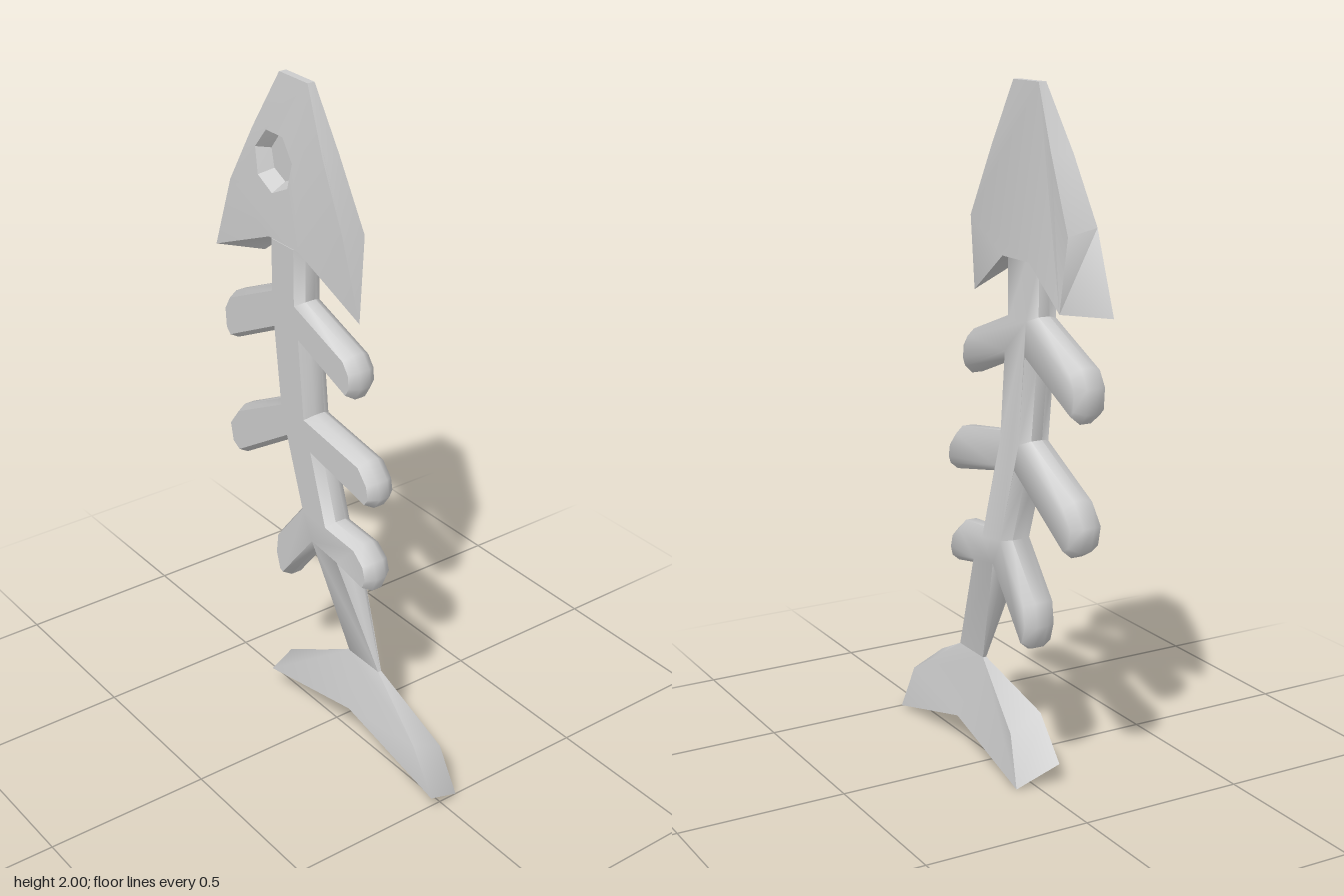
import * as THREE from 'three';
import { toCreasedNormals } from 'three/addons/utils/BufferGeometryUtils.js';

const V2 = (p) => new THREE.Vector2(p[0], p[1]);

// Accumulates triangles and turns them into a mesh with creased normals
function meshFrom(name, tris, crease) {
  let g = new THREE.BufferGeometry();
  g.setAttribute('position', new THREE.Float32BufferAttribute(tris.flat(), 3));
  g = toCreasedNormals(g, crease);
  const mesh = new THREE.Mesh(g, new THREE.MeshStandardMaterial({ color: 0xcccccc }));
  mesh.name = name;
  return mesh;
}

// Skin between two rings of [x, y, z] points, front ring first
function skin(tris, front, back) {
  front.forEach((a, i) => {
    const j = (i + 1) % front.length;
    tris.push(a, back[i], back[j], a, back[j], front[j]);
  });
}

// Fill a ring, optionally with a hole
function cap(tris, ring, hole, flip) {
  const all = hole ? ring.concat(hole) : ring;
  const faces = THREE.ShapeUtils.triangulateShape(ring.map(V2), hole ? [hole.map(V2)] : []);
  for (const [a, b, c] of faces) {
    tris.push(all[a], all[flip ? c : b], all[flip ? b : c]);
  }
}

// Solid from a stack of counter-clockwise rings, front to back
function stack(rings, hole) {
  const tris = [];
  cap(tris, rings[0], hole, false);
  for (let k = 0; k + 1 < rings.length; k++) skin(tris, rings[k], rings[k + 1]);
  cap(tris, rings[rings.length - 1], null, true);
  return tris;
}

// Mitred inset of a counter-clockwise outline
function inset(pts, d) {
  return pts.map((p, i) => {
    const a = V2(pts[(i + pts.length - 1) % pts.length]), b = V2(p), c = V2(pts[(i + 1) % pts.length]);
    const e1 = b.clone().sub(a).normalize(), e2 = c.clone().sub(b).normalize();
    const n1 = new THREE.Vector2(-e1.y, e1.x), n2 = new THREE.Vector2(-e2.y, e2.x);
    const m = n1.clone().add(n2).multiplyScalar(d / (1 + n1.dot(n2)));
    return [p[0] + m.x, p[1] + m.y];
  });
}

// Half outline mirrored about x = cx (half runs downwards on the -x side)
const mirrored = (half, cx) =>
  half.concat(half.slice().reverse().map(([x, y, z]) => [2 * cx - x, y, z]));

function createHead() {
  const cx = -0.195;
  const front = mirrored([[-0.26, 2, 0], [-0.36, 1.82, 0.024], [-0.46, 1.64, 0.035],
    [-0.54, 1.415, 0.037], [-0.265, 1.53, 0.04]], cx);
  const back = mirrored([[-0.26, 2, -0.023], [-0.35, 1.82, -0.038], [-0.45, 1.62, -0.048],
    [-0.42, 1.415, -0.053], [-0.265, 1.53, -0.053]], cx);

  // Seven-sided eye socket, clockwise so that its wall faces inwards
  const eyeRing = (r, z) => Array.from({ length: 7 }, (_, i) => {
    const a = -Math.PI / 2 - i * Math.PI * 2 / 7;
    const y = 1.75 + r * Math.sin(a);
    return [-0.255 + r * Math.cos(a), y, z ?? THREE.MathUtils.mapLinear(y, 1.82, 1.64, 0.024, 0.035)];
  });
  const rim = eyeRing(0.09), floor = eyeRing(0.066, -0.012);
  const socket = [];
  skin(socket, rim, floor);
  cap(socket, floor.slice().reverse(), null, false);

  const group = new THREE.Group();
  group.name = 'head';
  group.add(meshFrom('skull', stack([front, back], rim), 0.8), meshFrom('eyeSocket', socket, 0.3));
  return group;
}

function createSkeleton() {
  // Down the right side with its ribs, then up the left side
  const outline = [
    [-0.265, 1.53], [-0.265, 1.38],
    [-0.48, 1.28], [-0.51, 1.23], [-0.505, 1.16], [-0.475, 1.13],
    [-0.255, 1.24], [-0.23, 1.03],
    [-0.45, 0.915], [-0.5, 0.85], [-0.485, 0.78], [-0.44, 0.755],
    [-0.195, 0.91], [-0.13, 0.72],
    [-0.255, 0.57], [-0.265, 0.5], [-0.245, 0.435], [-0.215, 0.425],
    [-0.07, 0.6], [0.07, 0.3], [0.21, 0.3], [0.08, 0.595],
    [0.185, 0.575], [0.205, 0.62], [0.19, 0.67], [0.14, 0.71],
    [0.01, 0.72], [-0.05, 0.905],
    [0.19, 0.855], [0.215, 0.89], [0.205, 0.94], [0.16, 0.99],
    [-0.09, 1.03], [-0.11, 1.24],
    [0.1, 1.16], [0.125, 1.2], [0.12, 1.25], [0.09, 1.29],
    [-0.13, 1.37], [-0.13, 1.53],
  ];
  // Bevelled section; the spine thins to an edge at the tail
  const rings = [[0.042, 0.015], [0.012, 0], [-0.022, 0], [-0.05, 0.02]].map(([z, d]) => {
    const ins = inset(outline, d);
    return outline.map(([x, y], i) => {
      const end = y === 0.3, top = y === 1.53;
      return [end ? x : ins[i][0], end || top ? y : ins[i][1], end ? z * 0.12 : z];
    });
  });
  return meshFrom('spineAndRibs', stack(rings), 1.1);
}

function createTail() {
  const cx = 0.14;
  // Front and back outlines of the fluke, lower edge slanting back
  const front = mirrored([[0.07, 0.3, 0.005], [-0.16, 0.195, 0.055], [-0.255, 0.07, 0.062]], cx);
  front.splice(3, 0, [cx, 0.15, 0.06]);
  const back = mirrored([[0.07, 0.3, -0.006], [-0.16, 0.15, -0.045], [-0.22, 0.005, -0.06]], cx);
  back.splice(3, 0, [cx, 0.1, -0.055]);
  return meshFrom('tailFin', stack([front, back]), 0.8);
}

export function createModel() {
  const model = new THREE.Group();
  model.name = 'fishSkeleton';
  model.add(createHead(), createSkeleton(), createTail());
  return model;
}
